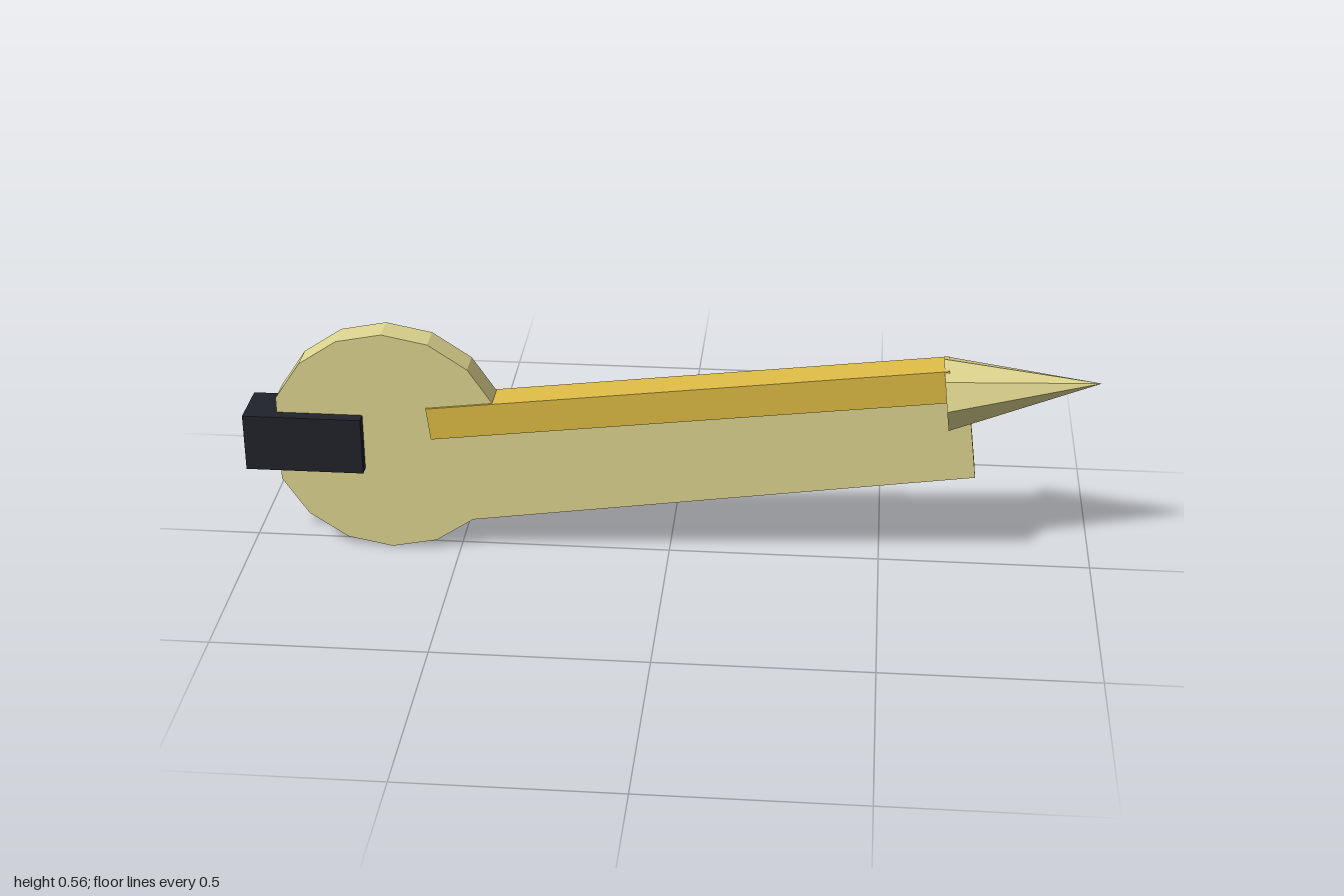
import * as THREE from 'three';

const material = (color) => new THREE.MeshStandardMaterial({ color, flatShading: true });

export function createModel() {
  const model = new THREE.Group();
  const khaki = material(0xded58f);
  const gold = material(0xdfbc45);
  const dark = material(0x20232b);
  const tilt = 0.121;

  const add = (name, geometry, mat, x = 0, y = 0, angle = 0) => {
    const mesh = new THREE.Mesh(geometry, mat);
    mesh.name = name;
    mesh.position.set(x, y, 0);
    mesh.rotation.z = angle;
    model.add(mesh);
    return mesh;
  };

  // Flat plate: faceted round head, flat at its left, running into a tilted arm
  const outline = [];
  for (let i = 1; i <= 14; i++) {
    if (i === 8) continue;
    const a = (i * Math.PI) / 8;
    outline.push(new THREE.Vector2(-0.665 + 0.28 * Math.cos(a), 0.281 + 0.28 * Math.sin(a)));
  }
  outline.push(
    new THREE.Vector2(-0.452, 0.107),
    new THREE.Vector2(0.715, 0.25),
    new THREE.Vector2(0.687, 0.48),
    new THREE.Vector2(-0.41, 0.352),
  );
  // The arm leaves the head on the facet after the 315 degree corner
  outline.splice(13, 1);
  const plate = new THREE.ExtrudeGeometry(new THREE.Shape(outline), { depth: 0.07, bevelEnabled: false });
  plate.translate(0, 0, -0.035);
  add('plate', plate, khaki);

  // Square rod along the top of the arm, slightly wider than the plate
  add('rod', new THREE.BoxGeometry(1.22, 0.08, 0.08), gold, 0.042, 0.41, tilt);

  // Eight-sided pointed tip, a little flattened in height
  const cone = new THREE.ConeGeometry(0.098, 0.353, 8);
  cone.scale(0.89, 1, 1);
  cone.rotateZ(-Math.PI / 2);
  add('tip', cone, khaki, 0.815, 0.468, 0.112);

  // Dark block clamped over the rear of the head
  add('rearBlock', new THREE.BoxGeometry(0.28, 0.14, 0.126), dark, -0.86, 0.281);

  return model;
}
